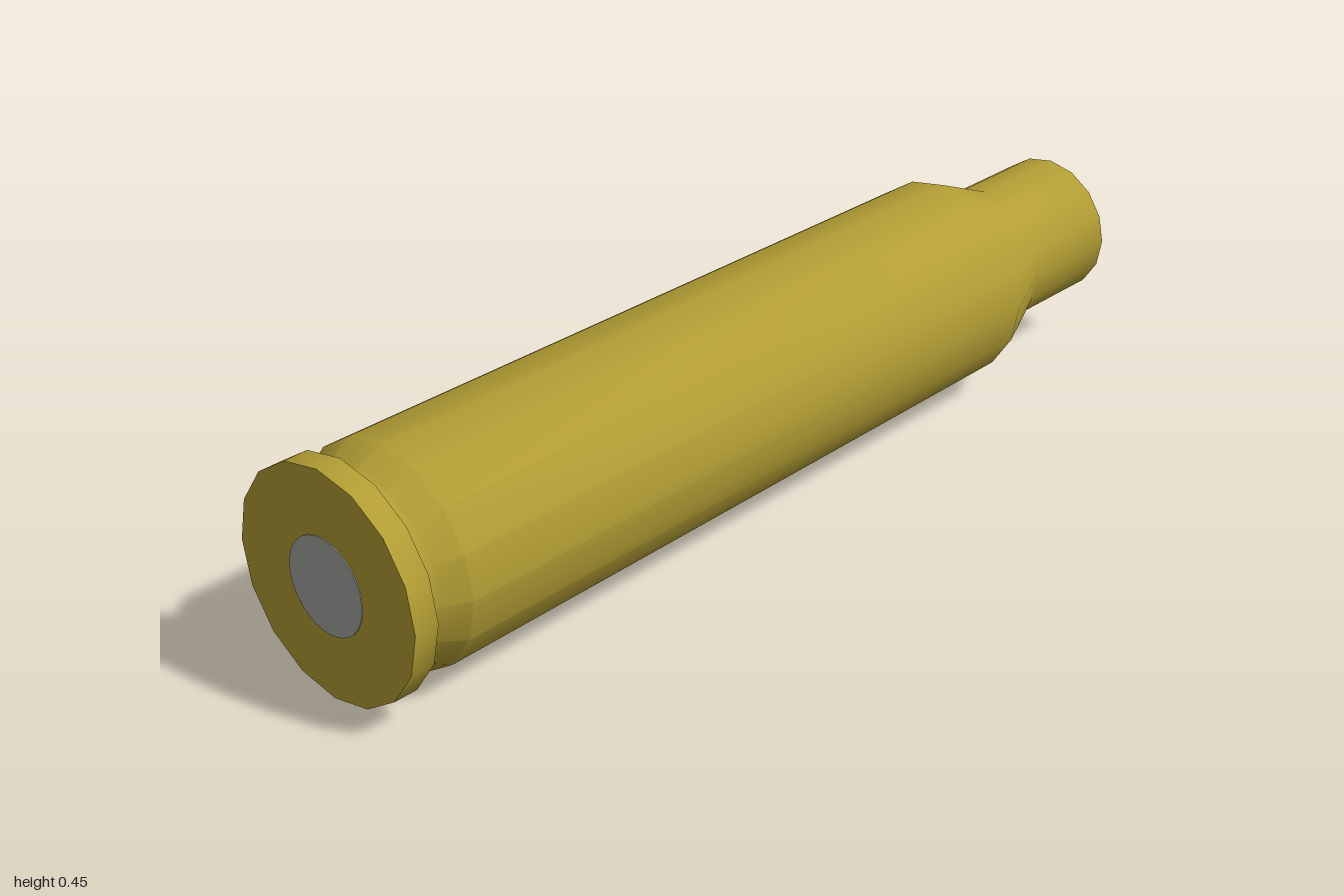
import * as THREE from 'three';
import { toCreasedNormals } from 'three/addons/utils/BufferGeometryUtils.js';

const SIDES = 16;
const RADIUS = 0.225;

// Turned part along x; profile points are [x, radius]
function turned(name, profile, material, sides = SIDES) {
  const points = profile.map(([x, r]) => new THREE.Vector2(r, x));
  const lathe = new THREE.LatheGeometry(points, sides);
  lathe.rotateZ(-Math.PI / 2);
  const mesh = new THREE.Mesh(toCreasedNormals(lathe, 0.6), material);
  mesh.name = name;
  mesh.position.y = RADIUS;
  return mesh;
}

export function createModel() {
  const brass = new THREE.MeshStandardMaterial({ color: 0xb29d34, side: THREE.DoubleSide });
  brass.name = 'brass';
  const steel = new THREE.MeshStandardMaterial({ color: 0xa4a4a2, side: THREE.DoubleSide });
  steel.name = 'steel grey';

  const group = new THREE.Group();
  group.name = 'cartridgeCase';

  // Base disc, rim and the step down into the extractor groove
  group.add(turned('rim', [[-1, 0], [-1, RADIUS], [-0.95, RADIUS], [-0.95, 0.19]], brass));

  // Groove, tapered body, shoulder and neck
  group.add(turned('body', [
    [-0.95, 0.19], [-0.915, 0.19], [-0.865, 0.217],
    [0.63, 0.207], [0.775, 0.145], [1, 0.145],
  ], brass));

  // Flat lip around the open mouth, then the hollow inside
  group.add(turned('mouthLip', [[1, 0.145], [1, 0.13]], brass));
  group.add(turned('innerWall', [
    [1, 0.13], [0.77, 0.13], [0.625, 0.19], [-0.865, 0.2], [-0.915, 0.175], [-1, 0.175],
  ], brass));

  // Primer set in the base, showing on both faces
  group.add(turned('primer', [
    [-1.002, 0], [-1.002, 0.094], [-0.998, 0.094], [-0.998, 0],
  ], steel, 32));

  return group;
}
